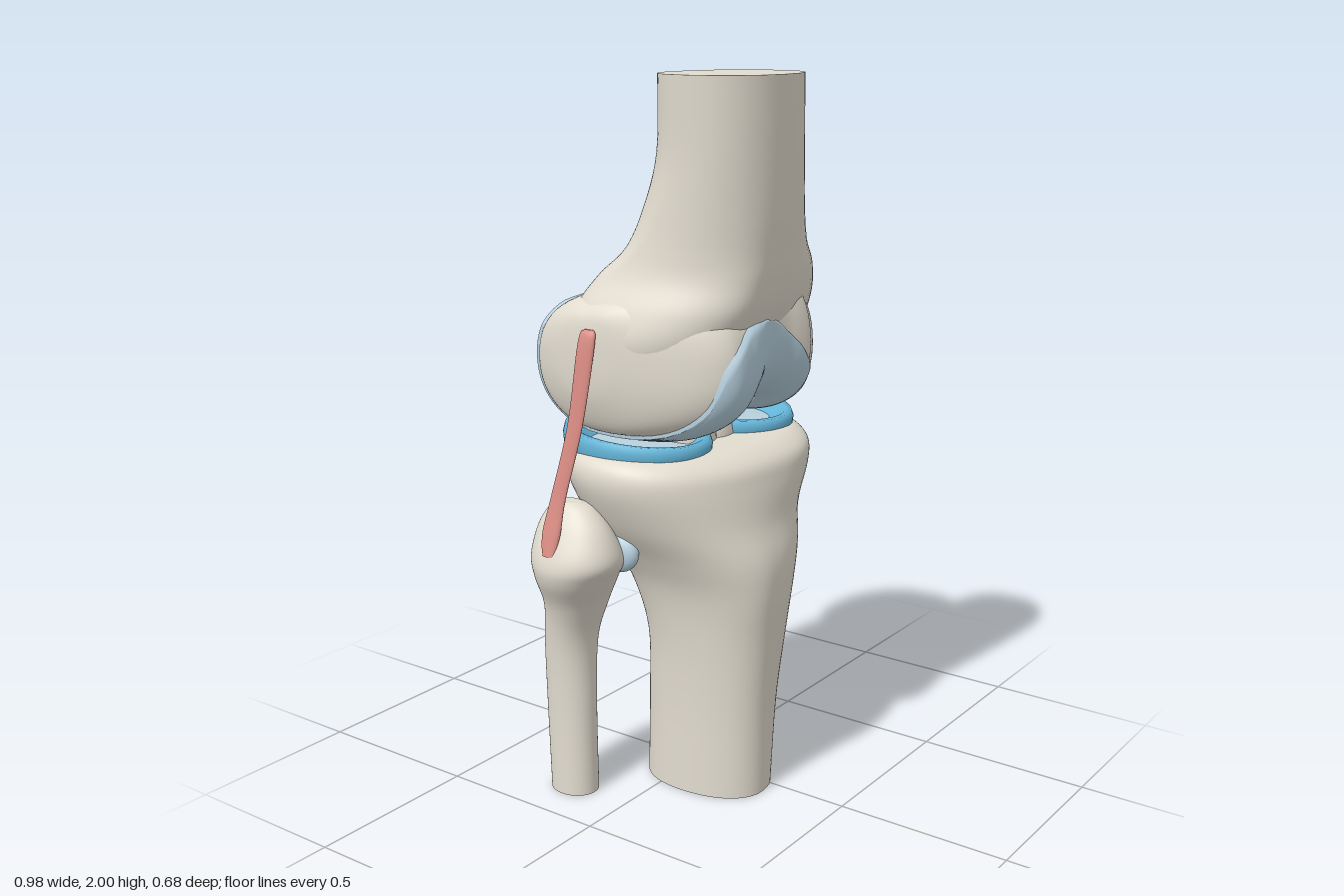
import * as THREE from 'three';

const mat = (name, color, side = THREE.FrontSide) => {
  const m = new THREE.MeshStandardMaterial({ color, side });
  m.name = name;
  return m;
};

// Uniform Catmull-Rom through table rows, t in row units
function rowAt(rows, t) {
  const last = rows.length - 1;
  const i = Math.min(Math.floor(t), last - 1), f = t - i;
  const r = k => rows[Math.max(0, Math.min(last, k))];
  return rows[0].map((_, c) => {
    const [a, b, d, e] = [r(i - 1)[c], r(i)[c], r(i + 1)[c], r(i + 2)[c]];
    return b + 0.5 * f * (d - a + f * (2 * a - 5 * b + 4 * d - e + f * (3 * (b - d) + e - a)));
  });
}

// Smooth lookup keyed on the first column
function lookup(table, x) {
  let i = 0;
  while (i < table.length - 2 && x > table[i + 1][0]) i++;
  const f = (x - table[i][0]) / (table[i + 1][0] - table[i][0]);
  return rowAt(table, i + THREE.MathUtils.clamp(f, 0, 1));
}

// Closed skin over rings of points, with crisp flat ends
function skin(name, material, rings) {
  const n = rings[0].length, pos = rings.flat(2), idx = [];
  for (let j = 0; j < rings.length - 1; j++)
    for (let i = 0; i < n; i++) {
      const a = j * n + i, b = j * n + (i + 1) % n;
      idx.push(a, b, a + n, b, b + n, a + n);
    }
  [rings[0], rings[rings.length - 1]].forEach((ring, end) => {
    const base = pos.length / 3;
    pos.push(...ring.flat());
    pos.push(...[0, 1, 2].map(c => ring.reduce((s, p) => s + p[c], 0) / n));
    for (let i = 0; i < n; i++) {
      const a = base + i, b = base + (i + 1) % n;
      idx.push(base + n, end ? a : b, end ? b : a);
    }
  });
  // Turn the faces outward by the sign of the volume
  const p = i => new THREE.Vector3().fromArray(pos, 3 * i);
  let volume = 0;
  for (let k = 0; k < idx.length; k += 3) volume += p(idx[k]).dot(p(idx[k + 1]).cross(p(idx[k + 2])));
  if (volume < 0) idx.reverse();
  return toMesh(name, material, pos, idx);
}

function toMesh(name, material, pos, idx) {
  const g = new THREE.BufferGeometry();
  g.setAttribute('position', new THREE.Float32BufferAttribute(pos, 3));
  g.setIndex(idx);
  g.computeVertexNormals();
  const mesh = new THREE.Mesh(g, material);
  mesh.name = name;
  return mesh;
}

const power = (v, e) => Math.sign(v) * Math.abs(v) ** e;

// Upright loft; rows: y, left x, right x, back z, front z, then x and z of the widest point
function upright(name, material, rows, exponent = 2, warp = p => p) {
  const full = rows.map(r => r.length > 5 ? r : [...r, (r[1] + r[2]) / 2, (r[3] + r[4]) / 2]);
  const rings = [], steps = (rows.length - 1) * 6, n = 72;
  for (let j = 0; j <= steps; j++) {
    const [y, xl, xr, zb, zf, xm, zm] = rowAt(full, j / 6);
    rings.push(Array.from({ length: n }, (_, i) => {
      const a = i / n * Math.PI * 2;
      const c = power(Math.cos(a), 2 / exponent), s = power(Math.sin(a), 2 / exponent);
      return warp([xm + c * (c > 0 ? xr - xm : xm - xl), y, zm + s * (s > 0 ? zf - zm : zm - zb)]);
    }));
  }
  return skin(name, material, rings);
}

// Flat ligament band; rows: y, x, back z, front z, half thickness; slope and bend wrap it round the bone
function band(name, material, rows, slope = 0, bend = 0) {
  const rings = [], steps = (rows.length - 1) * 6, n = 28;
  for (let j = 0; j <= steps; j++) {
    const [y, x, zb, zf, t] = rowAt(rows, j / 6);
    rings.push(Array.from({ length: n }, (_, i) => {
      const a = i / n * Math.PI * 2;
      const dz = Math.sin(a) * (zf - zb) / 2, z = (zb + zf) / 2 + dz;
      return [x + t * Math.cos(a) - slope * dz - bend * Math.min(0, z + 0.07) ** 2, y, z];
    }));
  }
  return skin(name, material, rings);
}

// Lower end of the thigh bone, sliced along x: x, back z, front z, bottom y, top y
const CONDYLES = [
  [-0.395, -0.10, -0.05, 1.24, 1.30], [-0.385, -0.19, 0.02, 1.16, 1.38], [-0.35, -0.27, 0.13, 1.08, 1.42],
  [-0.30, -0.304, 0.24, 1.06, 1.44], [-0.24, -0.31, 0.295, 1.05, 1.45], [-0.16, -0.29, 0.295, 1.055, 1.46],
  [-0.10, -0.25, 0.28, 1.08, 1.50], [-0.07, -0.19, 0.272, 1.11, 1.51], [-0.02, -0.12, 0.26, 1.13, 1.52],
  [0.05, -0.11, 0.265, 1.13, 1.52], [0.10, -0.13, 0.277, 1.11, 1.50], [0.14, -0.20, 0.28, 1.075, 1.48],
  [0.17, -0.29, 0.265, 1.055, 1.465], [0.22, -0.322, 0.24, 1.045, 1.46], [0.30, -0.327, 0.175, 1.04, 1.46],
  [0.37, -0.307, 0.10, 1.045, 1.46], [0.42, -0.25, 0.03, 1.08, 1.45], [0.445, -0.18, -0.01, 1.15, 1.40],
  [0.455, -0.10, -0.06, 1.25, 1.32],
];
function condylePoint(t, angle, grow = 0) {
  const [x, zb, zf, yb, yt] = rowAt(CONDYLES, t);
  const cos = Math.cos(angle), sin = Math.sin(angle), e = cos < 0 ? 0.92 : 0.87;
  const lift = 0.04 * Math.max(0, cos) * Math.max(0, sin);
  return [
    x,
    (yb + yt) / 2 + power(sin, e) * ((yt - yb) / 2 + grow) + lift,
    (zb + zf) / 2 + power(cos, e) * ((zf - zb) / 2 + grow),
  ];
}

// Cartilage limits in degrees round the slice: x, front edge, back edge
const COVER = [
  [-0.33, -110, -205], [-0.285, -20, -225], [-0.27, 3, -229], [-0.22, 16, -231], [-0.16, 24, -237],
  [-0.12, 21, -236], [-0.10, 18, -210], [-0.075, 14, -110], [-0.05, 11, -85], [-0.02, 8, -80],
  [0.05, -1, -80], [0.10, -7, -80], [0.14, -13, -105], [0.17, -20, -232], [0.20, -34, -250],
  [0.25, -47, -254], [0.30, -60, -250], [0.37, -78, -240], [0.41, -110, -215],
];
function femurCartilage(material) {
  const pos = [], idx = [], nu = 160, nv = 60;
  for (let j = 0; j <= nu; j++)
    for (let i = 0; i <= nv; i++) {
      const t = 2.45 + 13.25 * j / nu;
      const [, from, to] = lookup(COVER, rowAt(CONDYLES, t)[0]);
      const edge = j === 0 || j === nu || i === 0 || i === nv;
      pos.push(...condylePoint(t, THREE.MathUtils.degToRad(from + (to - from) * i / nv), edge ? -0.005 : 0.01));
      if (j < nu && i < nv) {
        const a = j * (nv + 1) + i, b = a + nv + 1;
        idx.push(a, a + 1, b, a + 1, b + 1, b);
      }
    }
  return toMesh('femurCartilage', material, pos, idx);
}

// C-shaped wedge, open toward the middle of the joint
function meniscus(name, material, cx, cz, rx, rz, side) {
  const profile = [[0.97, 0], [1, 0.015], [1.01, 0.035], [0.98, 0.055], [0.9, 0.055], [0.75, 0.03], [0.6, 0.012], [0.6, 0]];
  const rings = [], gap = 0.4;
  for (let j = 0; j <= 48; j++) {
    const a = -Math.PI + gap + (2 * Math.PI - 2 * gap) * j / 48;
    const tall = 1.1 - 0.22 * Math.sin(a);
    rings.push(profile.map(([r, y]) => [cx + side * rx * r * Math.cos(a), 0.982 + y * tall, cz + rz * r * Math.sin(a)]));
  }
  return skin(name, material, rings);
}

function ellipsoid(name, material, [x, y, z], [sx, sy, sz]) {
  const mesh = new THREE.Mesh(new THREE.SphereGeometry(1, 28, 18), material);
  mesh.position.set(x, y, z);
  mesh.scale.set(sx, sy, sz);
  mesh.name = name;
  return mesh;
}

export function createModel() {
  const bone = mat('bone', 0xe2dccf), cartilage = mat('cartilage', 0xb8d1df, THREE.DoubleSide);
  const disc = mat('meniscusBlue', 0x65b6da), red = mat('ligamentRed', 0xdc8e85);
  const model = new THREE.Group();
  model.name = 'kneeJoint';

  // Thigh bone, the shaft hollowed at the back above the notch
  const femur = new THREE.Group();
  femur.name = 'femur';
  const hollow = ([x, y, z]) => {
    const k = Math.exp(-(((x - 0.03) / 0.13) ** 4));
    return [x, y, z < -0.1 ? z + (-0.1 - z) * k : z];
  };
  femur.add(upright('femurShaft', bone, [
    [2.0, -0.295, 0.12, 0.01, 0.345, -0.11, 0.18], [1.8, -0.285, 0.15, 0, 0.335, -0.1, 0.16],
    [1.65, -0.29, 0.205, -0.04, 0.325, -0.1, 0.1], [1.55, -0.303, 0.285, -0.08, 0.315, -0.11, 0.03],
    [1.48, -0.325, 0.385, -0.15, 0.308, -0.13, -0.04], [1.4, -0.367, 0.442, -0.2, 0.292, -0.16, -0.07],
    [1.32, -0.387, 0.45, -0.2, 0.255, -0.16, -0.07], [1.24, -0.37, 0.432, -0.15, 0.2, -0.14, -0.06],
    [1.15, -0.33, 0.39, -0.1, 0.1, -0.1, -0.05],
  ], 2.25, hollow));
  const slices = [];
  for (let j = 0; j <= 108; j++)
    slices.push(Array.from({ length: 64 }, (_, i) => condylePoint(j / 6, i / 32 * Math.PI)));
  femur.add(skin('femurCondyles', bone, slices), femurCartilage(cartilage));
  model.add(femur);

  // Shin bone, with a shallow groove at the back of its head
  const groove = ([x, y, z]) => {
    const k = THREE.MathUtils.smoothstep(y, 0.7, 0.95) * Math.exp(-(((x + 0.02) / 0.1) ** 2));
    return [x, y, z < -0.1 ? z + 0.065 * k : z];
  };
  model.add(upright('tibia', bone, [
    [0, -0.185, 0.1, -0.105, 0.27, -0.06, 0.07], [0.25, -0.185, 0.13, -0.1, 0.275, -0.06, 0.08],
    [0.45, -0.195, 0.175, -0.1, 0.29, -0.06, 0.08], [0.6, -0.22, 0.225, -0.14, 0.305, -0.07, 0.05],
    [0.7, -0.265, 0.27, -0.2, 0.302, -0.06, 0.02], [0.8, -0.33, 0.325, -0.265, 0.275, -0.03, -0.02],
    [0.9, -0.375, 0.39, -0.325, 0.265, 0.04, -0.04], [0.96, -0.38, 0.405, -0.345, 0.25, 0.07, -0.05],
    [0.995, -0.355, 0.385, -0.32, 0.2, 0.07, -0.06], [1.0, -0.3, 0.34, -0.27, 0.15, 0.07, -0.06],
  ], 2.15, groove));
  for (const s of [-1, 1])
    model.add(ellipsoid('tibialSpine', bone, [s * 0.045, 0.99, 0], [0.085, 0.125, 0.08]));

  // Calf bone and its joint pad
  model.add(upright('fibula', bone, [
    [0, -0.4, -0.28, -0.255, -0.115], [0.25, -0.4, -0.275, -0.265, -0.12], [0.45, -0.41, -0.26, -0.265, -0.12],
    [0.57, -0.435, -0.25, -0.25, -0.08], [0.66, -0.48, -0.25, -0.255, -0.03], [0.72, -0.485, -0.26, -0.265, 0],
    [0.8, -0.45, -0.295, -0.25, -0.03], [0.855, -0.415, -0.325, -0.215, -0.08], [0.872, -0.395, -0.35, -0.18, -0.12],
  ], 2.1));
  model.add(ellipsoid('fibulaCartilage', cartilage, [-0.295, 0.725, -0.06], [0.035, 0.06, 0.075]));

  // Joint pads and C-shaped discs
  for (const [side, name, cx, rx, rz] of [[1, 'left', 0.21, 0.19, 0.235], [-1, 'right', -0.17, 0.175, 0.22]]) {
    model.add(ellipsoid(name + 'TibiaCartilage', cartilage, [cx, 0.99, -0.08], [rx * 0.9, 0.02, rz * 0.92]));
    model.add(meniscus(name + 'Meniscus', disc, cx, -0.08, rx, rz, side));
  }

  // Side ligaments
  model.add(band('leftSideLigament', red, [
    [1.325, 0.462, -0.075, -0.045, 0.006], [1.3, 0.465, -0.1, -0.02, 0.012], [1.2, 0.468, -0.125, 0, 0.017],
    [1.06, 0.45, -0.165, 0.025, 0.018], [1.0, 0.432, -0.225, 0.035, 0.022], [0.95, 0.417, -0.265, 0.045, 0.025],
    [0.9, 0.405, -0.235, 0.055, 0.028], [0.82, 0.377, -0.12, 0.072, 0.032], [0.7, 0.312, -0.01, 0.105, 0.034],
    [0.6, 0.236, 0.06, 0.13, 0.034], [0.565, 0.203, 0.085, 0.138, 0.028], [0.55, 0.186, 0.1, 0.128, 0.012],
  ], 0.25, 2.8));
  model.add(band('rightSideLigament', red, [
    [1.355, -0.393, -0.075, -0.045, 0.004], [1.32, -0.403, -0.09, -0.035, 0.011], [1.1, -0.422, -0.115, -0.065, 0.008],
    [0.9, -0.443, -0.16, -0.11, 0.008], [0.8, -0.458, -0.18, -0.12, 0.012], [0.74, -0.474, -0.17, -0.13, 0.008],
  ]));

  // Crossed ligaments between the condyles
  model.add(upright('backCrossLigament', red, [
    [0.885, 0.0, 0.06, -0.29, -0.25], [0.94, -0.045, 0.095, -0.305, -0.2], [1.02, -0.045, 0.09, -0.3, -0.19],
    [1.1, -0.015, 0.085, -0.27, -0.16], [1.18, -0.01, 0.11, -0.235, -0.12], [1.25, -0.01, 0.14, -0.21, -0.09],
    [1.31, 0.02, 0.15, -0.165, -0.07], [1.38, 0.04, 0.13, -0.09, -0.02],
  ]));
  model.add(upright('frontCrossLigament', red, [
    [0.99, -0.03, 0.04, -0.09, -0.02], [1.1, -0.05, 0.01, -0.13, -0.05],
    [1.2, -0.09, -0.03, -0.19, -0.1], [1.3, -0.12, -0.055, -0.22, -0.13],
  ]));
  return model;
}
